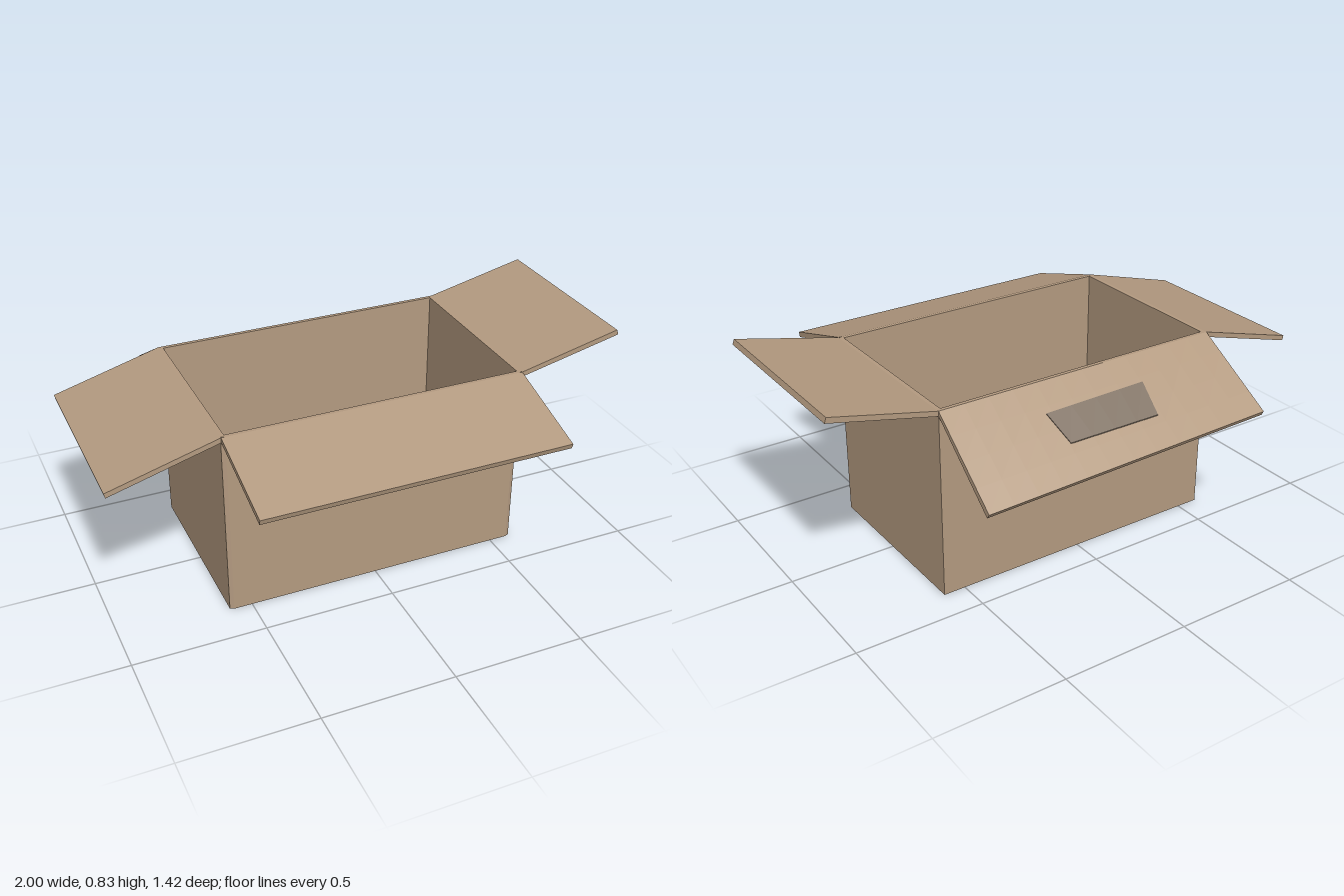
import * as THREE from 'three';

const HALF_X = 0.585, FRONT = 0.35, BACK = -0.38, HEIGHT = 0.735, WALL = 0.015;
const FOLD = 0.715; // underside of each flap at its fold

const cardboard = new THREE.MeshStandardMaterial({ color: 0xb39a80, flatShading: true, side: THREE.DoubleSide });
const patchMaterial = new THREE.MeshStandardMaterial({ color: 0x7f7163, flatShading: true, side: THREE.DoubleSide });

function add(group, name, geometry, material = cardboard) {
  const mesh = new THREE.Mesh(geometry, material);
  mesh.name = name;
  group.add(mesh);
  return mesh;
}

// Box stretched between two quads; corners run (-x,-z), (+x,-z), (+x,+z), (-x,+z)
function slab(top, bottom, segX = 1, segZ = 1) {
  const geometry = new THREE.BoxGeometry(1, 1, 1, segX, 1, segZ);
  const pos = geometry.attributes.position;
  const onQuad = (quad, u, w) => {
    const [a, b, c, d] = quad.map((p) => new THREE.Vector3(...p));
    return a.lerp(b, u).lerp(d.lerp(c, u), w);
  };
  for (let i = 0; i < pos.count; i++) {
    const quad = pos.getY(i) > 0 ? top : bottom;
    const p = onQuad(quad, pos.getX(i) + 0.5, pos.getZ(i) + 0.5);
    pos.setXYZ(i, p.x, p.y, p.z);
  }
  geometry.computeVertexNormals();
  return geometry;
}

export function createModel() {
  const box = new THREE.Group();
  box.name = 'openCardboardBox';

  // Four walls in one ring, with slim chamfers on the front corners
  const outline = new THREE.Shape([
    [-HALF_X, -BACK], [-HALF_X, -FRONT + 0.006], [-HALF_X + WALL, -FRONT],
    [HALF_X - WALL, -FRONT], [HALF_X, -FRONT + 0.006], [HALF_X, -BACK],
  ].map(([x, y]) => new THREE.Vector2(x, y)));
  const inX = HALF_X - WALL, inFront = FRONT - WALL, inBack = BACK + WALL;
  outline.holes.push(new THREE.Path([
    [-inX, -inFront], [-inX, -inBack], [inX, -inBack], [inX, -inFront],
  ].map(([x, y]) => new THREE.Vector2(x, y))));
  const walls = new THREE.ExtrudeGeometry(outline, { depth: HEIGHT, bevelEnabled: false });
  walls.rotateX(-Math.PI / 2);
  add(box, 'walls', walls);

  // Floor
  const floor = new THREE.BoxGeometry(2 * inX, WALL, inFront - inBack);
  floor.translate(0, WALL / 2, (inFront + inBack) / 2);
  add(box, 'floor', floor);

  // Side flaps: the right one droops, the left one is raised
  const across = (x0, y0, x1, y1) => [[x0, y0, BACK], [x1, y1, BACK], [x1, y1, FRONT], [x0, y0, FRONT]];
  add(box, 'rightFlap', slab(
    across(-1.0, 0.619, -HALF_X, HEIGHT),
    across(-0.995, 0.6, -HALF_X, FOLD)));
  add(box, 'leftFlap', slab(
    across(HALF_X, HEIGHT, 0.988, 0.828),
    across(HALF_X, FOLD, 0.995, 0.808)));

  // Front flap
  const along = (y0, z0, y1, z1) => [[-HALF_X, y0, z0], [HALF_X, y0, z0], [HALF_X, y1, z1], [-HALF_X, y1, z1]];
  add(box, 'frontFlap', slab(
    along(HEIGHT, FRONT, 0.627, 0.712),
    along(FOLD, FRONT, 0.607, 0.706)));

  // Back flap, twisted so that its left end hangs lower
  add(box, 'backFlap', slab(
    [[-HALF_X, 0.54, -0.712], [HALF_X, 0.488, -0.684], [HALF_X, HEIGHT, BACK], [-HALF_X, HEIGHT, BACK]],
    [[-HALF_X, 0.522, -0.702], [HALF_X, 0.47, -0.671], [HALF_X, FOLD, BACK], [-HALF_X, FOLD, BACK]],
    12, 4));

  // Tapered patch following the slope of the back flap
  const flapY = (x, z) => {
    const t = (x + HALF_X) / (2 * HALF_X);
    const endZ = -0.712 + 0.028 * t, endY = 0.54 - 0.052 * t;
    return HEIGHT + (endY - HEIGHT) * (z - BACK) / (endZ - BACK);
  };
  const patch = (lift) => [[-0.18, -0.597], [0.19, -0.585], [0.22, -0.48], [-0.2, -0.48]]
    .map(([x, z]) => [x, flapY(x, z) + lift, z]);
  add(box, 'flapPatch', slab(patch(0.003), patch(-0.028), 4, 1), patchMaterial);

  return box;
}
